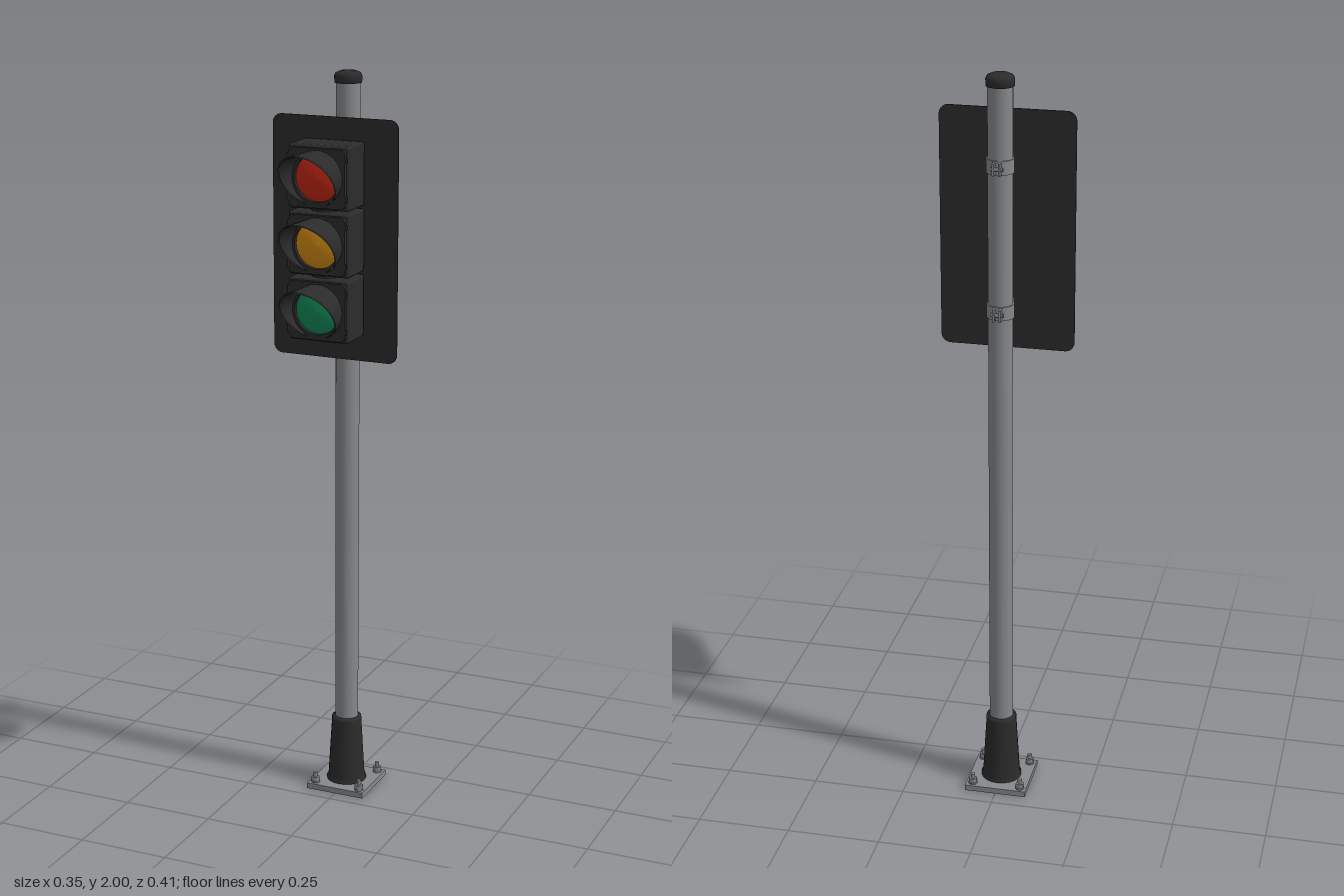
import * as THREE from 'three';
import { RoundedBoxGeometry } from 'three/addons/geometries/RoundedBoxGeometry.js';

const mat = (name, color, side = THREE.FrontSide) => {
  const m = new THREE.MeshStandardMaterial({ color, side });
  m.name = name;
  return m;
};

const POLE_Z = -0.121;

function roundedRect(w, h, r) {
  const s = new THREE.Shape(), x = w / 2, y = h / 2;
  s.moveTo(-x + r, -y);
  s.lineTo(x - r, -y).absarc(x - r, -y + r, r, -Math.PI / 2, 0);
  s.lineTo(x, y - r).absarc(x - r, y - r, r, 0, Math.PI / 2);
  s.lineTo(-x + r, y).absarc(-x + r, y - r, r, Math.PI / 2, Math.PI);
  s.lineTo(-x, -y + r).absarc(-x + r, -y + r, r, Math.PI, Math.PI * 1.5);
  return s;
}

// Tube whose front end is cut by a slanted plane, long at the top and short at the bottom
function visorGeometry(thickness) {
  const geo = new THREE.CylinderGeometry(1, 1, 1, 32, 4, true);
  geo.rotateX(Math.PI / 2);
  const p = geo.attributes.position;
  for (let i = 0; i < p.count; i++) {
    const x = p.getX(i), y = p.getY(i), t = p.getZ(i) + 0.5;
    const r = 0.071 + 0.003 * t - thickness;
    p.setXYZ(i, x * r, y * r, 0.07 + t * (0.069 + 0.064 * y));
  }
  geo.computeVertexNormals();
  return geo;
}

export function createModel() {
  const root = new THREE.Group();
  root.name = 'trafficSignal';
  const steel = mat('galvanised steel', 0x86898c);
  const dark = mat('black housing', 0x2b2b2b);
  const sheet = mat('black sheet', 0x2b2b2b, THREE.DoubleSide);
  const lensMats = [mat('red lens', 0xc42613), mat('amber lens', 0xd08a12), mat('green lens', 0x128a58)];

  const add = (parent, name, geo, material, x = 0, y = 0, z = 0) => {
    const m = new THREE.Mesh(geo, material);
    m.name = name;
    m.position.set(x, y, z);
    parent.add(m);
    return m;
  };
  const cyl = (rt, rb, h, n = 20) => new THREE.CylinderGeometry(rt, rb, h, n);
  const box = (w, h, d) => new THREE.BoxGeometry(w, h, d);
  const lathe = (pts, n) => new THREE.LatheGeometry(pts.map(p => new THREE.Vector2(...p)), n);

  // Base plate and anchor bolts
  const base = new THREE.Group();
  base.name = 'base';
  base.position.z = POLE_Z;
  root.add(base);
  add(base, 'basePlate', box(0.168, 0.016, 0.168), steel, 0, 0.008, 0);
  for (const sx of [-1, 1]) for (const sz of [-1, 1]) {
    const x = sx * 0.066, z = sz * 0.066;
    add(base, 'anchorWasher', cyl(0.0125, 0.0125, 0.004, 12), steel, x, 0.018, z);
    add(base, 'anchorNut', cyl(0.0115, 0.0115, 0.012, 6), steel, x, 0.026, z);
    add(base, 'anchorStud', cyl(0.006, 0.006, 0.03, 8), steel, x, 0.03, z);
  }

  // Pole, base collar and cap
  add(base, 'baseCollar', lathe([[0.055, 0.016], [0.055, 0.022], [0.051, 0.026], [0.041, 0.198],
    [0.041, 0.204], [0.031, 0.207]], 20), dark);
  add(base, 'pole', cyl(0.032, 0.032, 1.96, 20), steel, 0, 0.995, 0);
  add(base, 'poleCap', lathe([[0.03, 1.968], [0.036, 1.968], [0.0365, 1.985], [0.033, 1.993],
    [0.022, 1.998], [0, 2]], 20), dark);

  // Clamps with an arm reaching to the signal head
  for (const y of [1.768, 1.387]) {
    const clamp = new THREE.Group();
    clamp.name = 'clamp';
    clamp.position.set(0, y, 0);
    root.add(clamp);
    add(clamp, 'clampBand', cyl(0.0355, 0.0355, 0.036), steel, 0, 0, POLE_Z);
    add(clamp, 'clampPlate', box(0.054, 0.04, 0.006), steel, 0, 0, -0.082);
    add(clamp, 'clampArm', box(0.023, 0.024, 0.046), steel, 0, 0, -0.059);
    for (const s of [-1, 1])
      add(clamp, 'clampLug', box(0.006, 0.032, 0.02), steel, s * 0.008, 0, -0.162);
    const bolt = add(clamp, 'clampBolt', cyl(0.005, 0.005, 0.032, 6), steel, 0, 0, -0.164);
    bolt.rotation.z = Math.PI / 2;
  }

  // Backboard
  add(root, 'backboard', new THREE.ExtrudeGeometry(roundedRect(0.352, 0.635, 0.025),
    { depth: 0.003, bevelEnabled: false, curveSegments: 6 }), dark, 0, 1.573, -0.04);

  // Three signal sections
  const bodyGeo = new RoundedBoxGeometry(0.168, 0.165, 0.105, 2, 0.007);
  const doorShape = roundedRect(0.156, 0.152, 0.012);
  doorShape.holes.push(new THREE.Path().absarc(0, 0, 0.062, 0, Math.PI * 2, true));
  const doorGeo = new THREE.ExtrudeGeometry(doorShape, { depth: 0.014, bevelEnabled: false, curveSegments: 16 });
  const visorOuter = visorGeometry(0), visorInner = visorGeometry(0.003);
  const lensGeo = lathe([[0.062, 0], [0.054, 0.005], [0.04, 0.01], [0.021, 0.0135], [0, 0.015]], 28);
  lensGeo.rotateX(Math.PI / 2);
  lensMats.forEach((lensMat, i) => {
    const section = new THREE.Group();
    section.name = ['red', 'amber', 'green'][i] + 'Section';
    section.position.y = 1.75 - i * 0.172;
    root.add(section);
    add(section, 'sectionBody', bodyGeo, dark, 0, 0, 0.0155);
    add(section, 'sectionDoor', doorGeo, dark, 0, 0, 0.065);
    add(section, 'lens', lensGeo, lensMat, 0, 0, 0.068);
    add(section, 'visorOuter', visorOuter, sheet);
    add(section, 'visorInner', visorInner, sheet);
    for (const s of [-1, 1]) {
      add(section, 'doorHinge', cyl(0.004, 0.004, 0.022, 8), dark, -0.081, s * 0.05, 0.074);
      add(section, 'doorLatch', box(0.01, 0.012, 0.008), dark, 0.077, s * 0.05, 0.075);
    }
  });

  // Joining collars between sections
  for (const y of [1.664, 1.492])
    add(root, 'sectionJoint', cyl(0.04, 0.04, 0.02, 16), dark, 0, y, 0.015);

  return root;
}
